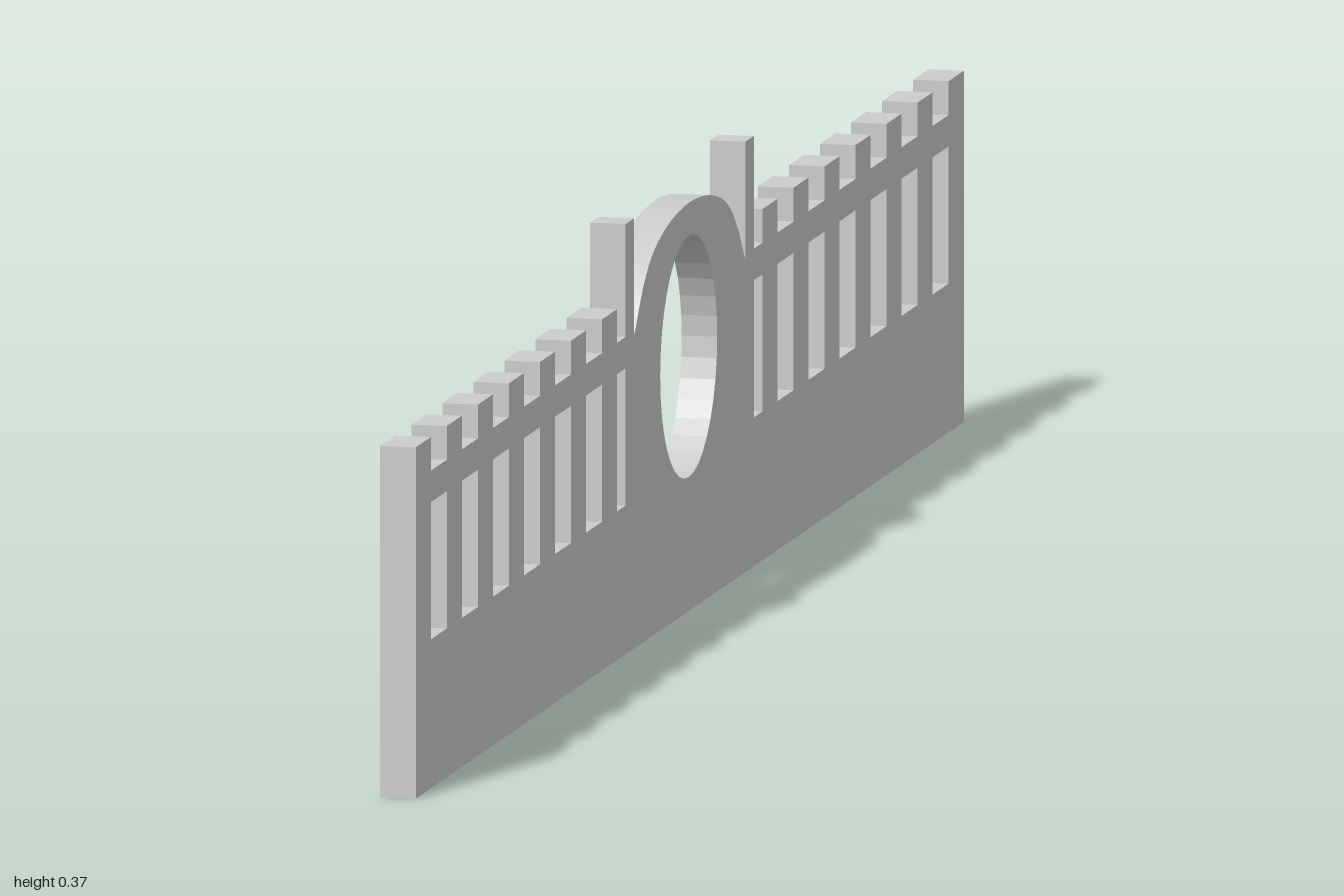
import * as THREE from 'three';

const THICK = 0.031;
const PITCH = 0.1133, MERLON = 0.055;
const TOP = 0.302, NOTCH = 0.273;          // merlon top and notch floor
const WIN_LOW = 0.128, WIN_HIGH = 0.246;   // window sill and lintel
const POST_IN = 0.203, POST_OUT = 0.234, POST_TOP = 0.37;

function rectHole(a, b, low, high) {
  const p = new THREE.Path();
  p.moveTo(a, low);
  p.lineTo(a, high);
  p.lineTo(b, high);
  p.lineTo(b, low);
  p.closePath();
  return p;
}

export function createModel() {
  const group = new THREE.Group();
  group.name = 'parapetWall';

  // Half outline from the outer end to the middle: merlons, post, arched crest
  const half = [];
  const windows = [];
  for (let i = 0; i < 7; i++) {
    const outer = 1 - i * PITCH, inner = outer - MERLON;
    const next = i < 6 ? 1 - (i + 1) * PITCH : POST_OUT;
    half.push([outer, TOP], [inner, TOP], [inner, NOTCH], [next, NOTCH]);
    windows.push([next, inner]);
  }
  half.push([POST_OUT, POST_TOP], [POST_IN, POST_TOP], [POST_IN, 0.27]);
  const crest = new THREE.CatmullRomCurve3([
    [0.2, 0.272], [0.17, 0.305], [0.14, 0.326], [0.085, 0.343], [0, 0.351], [-0.085, 0.343],
  ].map(([z, y]) => new THREE.Vector3(z, y, 0)));
  for (let i = 0; i <= 40; i++) {
    const p = crest.getPoint(i / 50);
    half.push([Math.max(p.x, 0), p.y]);
  }

  // Full outline, mirrored about the middle
  const mirrored = half.slice(0, -1).reverse().map(([z, y]) => [-z, y]);
  const outline = [[-1, 0], [1, 0], ...half, ...mirrored];
  const shape = new THREE.Shape(outline.map(([z, y]) => new THREE.Vector2(z, y)));

  // Window openings on both sides and the round opening
  for (const [a, b] of windows) {
    shape.holes.push(rectHole(a, b, WIN_LOW, WIN_HIGH), rectHole(-b, -a, WIN_LOW, WIN_HIGH));
  }
  const round = new THREE.Path();
  round.absarc(0.004, 0.219, 0.104, 0, Math.PI * 2, true);
  shape.holes.push(round);

  const geometry = new THREE.ExtrudeGeometry(shape, {
    depth: THICK, bevelEnabled: false, curveSegments: 18,
  });
  geometry.translate(0, 0, -THICK / 2);
  geometry.rotateY(-Math.PI / 2);

  const wall = new THREE.Mesh(
    geometry,
    new THREE.MeshStandardMaterial({ color: 0xcccccc, flatShading: true }),
  );
  wall.name = 'wall';
  group.add(wall);
  return group;
}
